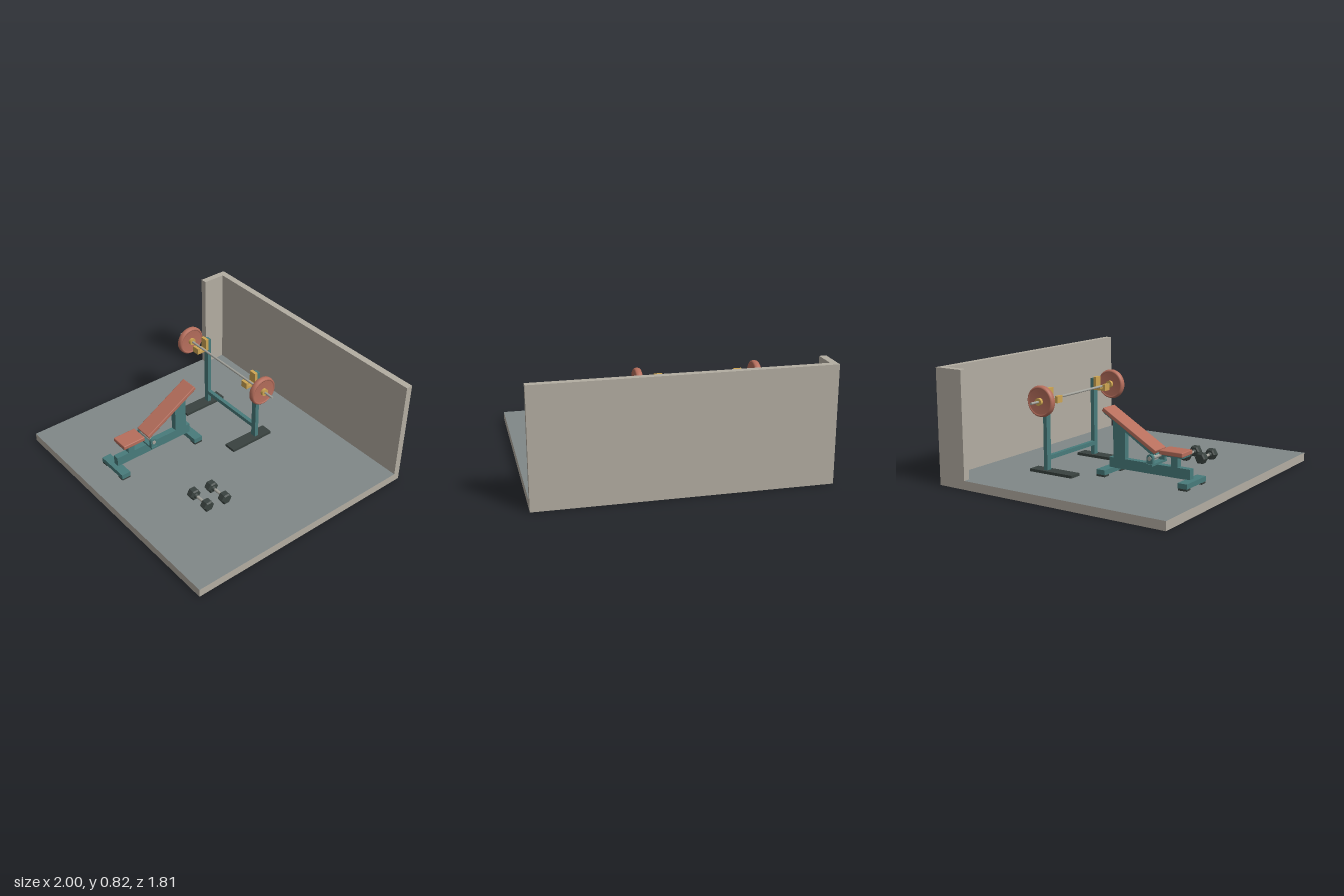
import * as THREE from 'three';
import { RoundedBoxGeometry } from 'three/addons/geometries/RoundedBoxGeometry.js';

const mat = (name, color) => Object.assign(new THREE.MeshStandardMaterial({ color }), { name });

export function createModel() {
  const plaster = mat('plaster', 0xb3ada2);
  const flooring = mat('flooring', 0x808888);
  const teal = mat('tealSteel', 0x487b7b);
  const red = mat('redVinyl', 0xb66e5c);
  const brass = mat('yellowFitting', 0xcfa653);
  const dark = mat('blackRubber', 0x39423f);
  const steel = mat('steel', 0xa3a39c);
  const model = new THREE.Group();
  model.name = 'homeGym';

  const group = (name, parent = model) => {
    const g = new THREE.Group();
    g.name = name;
    parent.add(g);
    return g;
  };
  const add = (parent, name, geo, material, x = 0, y = 0, z = 0) => {
    const m = new THREE.Mesh(geo, material);
    m.name = name;
    m.position.set(x, y, z);
    parent.add(m);
    return m;
  };
  // Box given by its limits on each axis
  const box = (parent, name, material, x0, x1, y0, y1, z0, z1) =>
    add(parent, name, new THREE.BoxGeometry(x1 - x0, y1 - y0, z1 - z0), material,
      (x0 + x1) / 2, (y0 + y1) / 2, (z0 + z1) / 2);
  // Cylinder lying along x
  const rod = (parent, name, material, r, len, x, y, z, sides = 24) =>
    add(parent, name, new THREE.CylinderGeometry(r, r, len, sides).rotateZ(Math.PI / 2), material, x, y, z);
  // Side profile given as [z, y] points, extruded along x
  const profile = (parent, name, material, points, width, x) => {
    const shape = new THREE.Shape(points.map(([z, y]) => new THREE.Vector2(-z, y)));
    const geo = new THREE.ExtrudeGeometry(shape, { depth: width, bevelEnabled: false });
    geo.translate(0, 0, -width / 2).rotateY(Math.PI / 2);
    return add(parent, name, geo, material, x, 0, 0);
  };

  // Room corner
  const F = 0.062;
  const room = group('room');
  box(room, 'floor', [plaster, plaster, flooring, plaster, plaster, plaster], -1, 1, 0, F, -0.906, 0.906);
  box(room, 'backWall', plaster, -1, 1, F, 0.818, -0.906, -0.857);
  box(room, 'sideWallStub', plaster, -1, -0.951, F, 0.818, -0.857, -0.684);

  // Barbell rack
  const rack = group('rack');
  for (const x of [-0.51, 0.05]) {
    box(rack, 'rackFoot', dark, x - 0.046, x + 0.046, F, 0.082, -0.478, -0.117);
    box(rack, 'upright', teal, x - 0.021, x + 0.021, 0.082, 0.65, -0.372, -0.342);
    const cup = group('barCup', rack);
    box(cup, 'cupBack', brass, x - 0.028, x + 0.028, 0.567, 0.663, -0.342, -0.318);
    box(cup, 'cupShelf', brass, x - 0.028, x + 0.028, 0.567, 0.584, -0.318, -0.262);
    box(cup, 'cupLip', brass, x - 0.028, x + 0.028, 0.567, 0.615, -0.262, -0.24);
  }
  box(rack, 'crossbar', teal, -0.489, 0.029, 0.152, 0.182, -0.372, -0.342);

  // Barbell
  const barbell = group('barbell');
  barbell.position.set(-0.23, 0.593, -0.294);
  rod(barbell, 'bar', steel, 0.0085, 1.05, 0, 0, 0);
  const disc = [[0.001, -0.015], [0.088, -0.015], [0.091, -0.022], [0.098, -0.022], [0.105, -0.015],
    [0.108, 0], [0.105, 0.015], [0.098, 0.022], [0.091, 0.022], [0.088, 0.015], [0.001, 0.015]];
  for (const s of [-1, 1]) {
    const geo = new THREE.LatheGeometry(disc.map(([r, h]) => new THREE.Vector2(r, h)), 40);
    add(barbell, 'weightPlate', geo.rotateZ(Math.PI / 2), red, s * 0.415, 0, 0);
    rod(barbell, 'collar', brass, 0.026, 0.07, s * 0.415, 0, 0);
  }

  // Bench frame
  const X = -0.277;
  const bench = group('bench');
  box(bench, 'mainBeam', teal, X - 0.023, X + 0.023, 0.109, 0.181, 0.02, 0.663);
  for (const z of [0.664, 0.018]) {
    box(bench, 'benchFoot', teal, X - 0.127, X + 0.127, 0.076, 0.111, z - 0.035, z + 0.035);
    for (const s of [-1, 1]) {
      const px = X + s * 0.1;
      box(bench, 'rubberPad', dark, px - 0.026, px + 0.026, F, 0.076, z - 0.033, z + 0.033);
    }
  }

  // Seat
  box(bench, 'seatPost', teal, X - 0.023, X + 0.023, 0.181, 0.253, 0.515, 0.566);
  box(bench, 'seatPlate', teal, X - 0.05, X + 0.05, 0.253, 0.266, 0.46, 0.62);
  add(bench, 'seatPad', new RoundedBoxGeometry(0.134, 0.032, 0.178, 2, 0.006), red, X, 0.28, 0.539);

  // Inclined backrest and its supports
  const backrest = group('backrest', bench);
  backrest.position.set(X, 0.397, 0.206);
  backrest.rotation.x = 0.53;
  add(backrest, 'backPad', new RoundedBoxGeometry(0.134, 0.03, 0.49, 2, 0.006), red);
  box(backrest, 'backPlate', teal, -0.05, 0.05, -0.027, -0.014, -0.235, 0.22);
  profile(bench, 'backPost', teal,
    [[0.148, 0.181], [0.053, 0.181], [0.053, 0.455], [0.148, 0.399]], 0.046, X);
  profile(bench, 'backArm', teal,
    [[0.4, 0.246], [0.375, 0.232], [0.148, 0.372], [0.148, 0.4], [0.385, 0.262]], 0.046, X);

  // Hinge with rounded ears and a pin
  box(bench, 'hingeBase', teal, X - 0.096, X + 0.096, 0.181, 0.195, 0.365, 0.413);
  for (const s of [-1, 1]) {
    const ear = new THREE.Shape();
    ear.moveTo(-0.413, 0.19);
    ear.lineTo(-0.365, 0.19);
    ear.lineTo(-0.365, 0.236);
    ear.absarc(-0.389, 0.236, 0.024, 0, Math.PI);
    const geo = new THREE.ExtrudeGeometry(ear, { depth: 0.024, bevelEnabled: false, curveSegments: 10 });
    geo.translate(0, 0, -0.012).rotateY(Math.PI / 2);
    add(bench, 'hingeEar', geo, teal, X + s * 0.075, 0, 0);
  }
  rod(bench, 'hingePin', steel, 0.014, 0.188, X, 0.232, 0.389);

  // Hexagonal dumbbells
  const hexHead = [[0, -0.029], [0.034, -0.029], [0.044, -0.02], [0.044, 0.02], [0.034, 0.029], [0, 0.029]]
    .map(([r, h]) => new THREE.Vector2(r, h));
  for (const [x, z] of [[0.393, 0.27], [0.376, 0.411]]) {
    const bell = group('dumbbell');
    bell.position.set(x, F + 0.038, z);
    rod(bell, 'handle', steel, 0.011, 0.11, 0, 0, 0, 16);
    for (const s of [-1, 1]) {
      // Non-indexed facets give crisp hexagonal sides
      const head = new THREE.LatheGeometry(hexHead, 6).rotateZ(Math.PI / 2).toNonIndexed();
      head.computeVertexNormals();
      add(bell, 'dumbbellHead', head, dark, s * 0.074, 0, 0);
      const neck = new THREE.CylinderGeometry(0.012, 0.02, 0.016, 16).rotateZ(s * Math.PI / 2);
      add(bell, 'dumbbellNeck', neck, dark, s * 0.038, 0, 0);
    }
  }
  return model;
}
